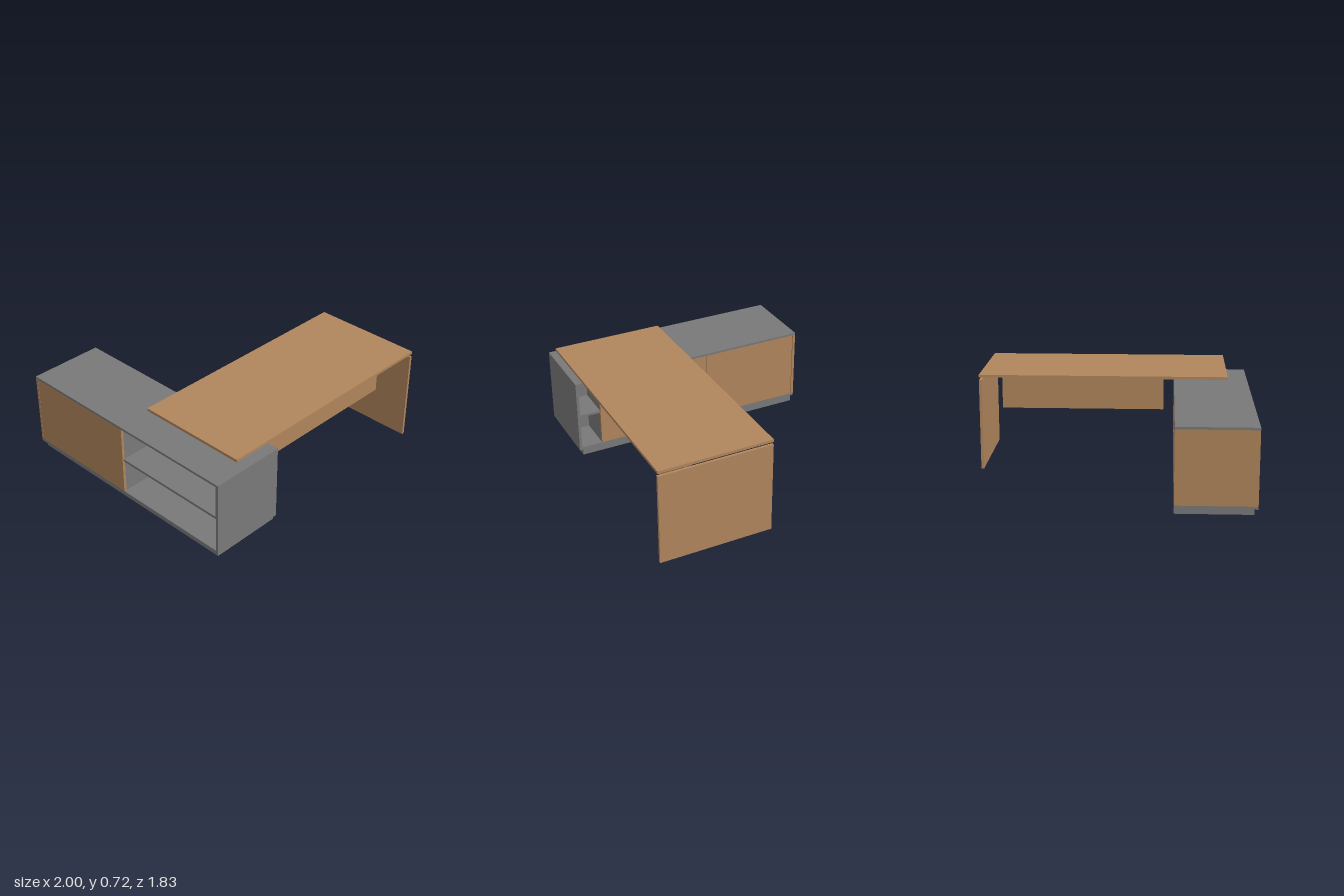
import * as THREE from 'three';

export function createModel() {
  const model = new THREE.Group();
  const wood = new THREE.MeshStandardMaterial({ color: 0xb0855c });
  wood.name = 'warm wood';
  const grey = new THREE.MeshStandardMaterial({ color: 0x797979 });
  grey.name = 'mid grey';

  // Box from its limits on each axis
  function board(name, material, [x0, x1], [y0, y1], [z0, z1], parent = model) {
    const mesh = new THREE.Mesh(new THREE.BoxGeometry(x1 - x0, y1 - y0, z1 - z0), material);
    mesh.position.set((x0 + x1) / 2, (y0 + y1) / 2, (z0 + z1) / 2);
    mesh.name = name;
    parent.add(mesh);
    return mesh;
  }

  // Desk: top, end leg, modesty panel and supporting rail
  const desk = new THREE.Group();
  desk.name = 'desk';
  model.add(desk);
  board('desktop', wood, [-0.83, 1], [0.7, 0.72], [0.085, 0.915], desk);
  board('endLeg', wood, [0.98, 1], [0, 0.68], [0.085, 0.915], desk);
  board('modestyPanel', wood, [-0.36, 0.91], [0.33, 0.655], [0.668, 0.688], desk);
  board('supportRail', grey, [-0.44, 0.98], [0.655, 0.7], [0.673, 0.685], desk);
  board('legBracket', grey, [0.955, 0.98], [0.57, 0.655], [0.673, 0.685], desk);
  board('pedestalBlock', grey, [-0.57, -0.44], [0.605, 0.7], [0.54, 0.75], desk);

  // Cabinet carcass
  const cabinet = new THREE.Group();
  cabinet.name = 'cabinet';
  model.add(cabinet);
  const inner = [0.065, 0.588];
  board('plinth', grey, [-0.975, -0.44], [0, 0.045], [-0.89, 0.89], cabinet);
  board('cabinetFloor', grey, [-1, -0.44], [0.045, 0.065], [-0.915, 0.895], cabinet);
  board('cabinetTop', grey, [-1, -0.44], [0.588, 0.605], [-0.915, 0.895], cabinet);
  board('frontEnd', grey, [-1, -0.44], [0.045, 0.605], [0.895, 0.915], cabinet);
  board('backEnd', wood, [-1, -0.44], inner, [-0.915, -0.895], cabinet);
  board('middleWall', grey, [-0.73, -0.71], inner, [-0.893, 0.895], cabinet);

  // Open shelf bays on both long sides
  board('outerBayWall', grey, [-0.98, -0.73], inner, [-0.02, 0], cabinet);
  board('outerShelf', grey, [-0.99, -0.73], [0.318, 0.336], [0, 0.895], cabinet);
  board('innerBayWall', grey, [-0.71, -0.46], inner, [0.715, 0.735], cabinet);
  board('innerShelf', grey, [-0.71, -0.45], [0.318, 0.336], [0.735, 0.895], cabinet);

  // Wooden fronts
  board('outerPanel', wood, [-1, -0.98], inner, [-0.893, 0], cabinet);
  board('backDoor', wood, [-0.46, -0.44], inner, [-0.89, -0.142], cabinet);
  board('frontDoor', wood, [-0.46, -0.44], inner, [-0.138, 0.735], cabinet);

  // Round lock on the front door
  const lock = new THREE.Mesh(new THREE.CylinderGeometry(0.012, 0.012, 0.006, 12), wood);
  lock.name = 'doorLock';
  lock.rotation.z = Math.PI / 2;
  lock.position.set(-0.439, 0.35, -0.086);
  cabinet.add(lock);

  return model;
}
